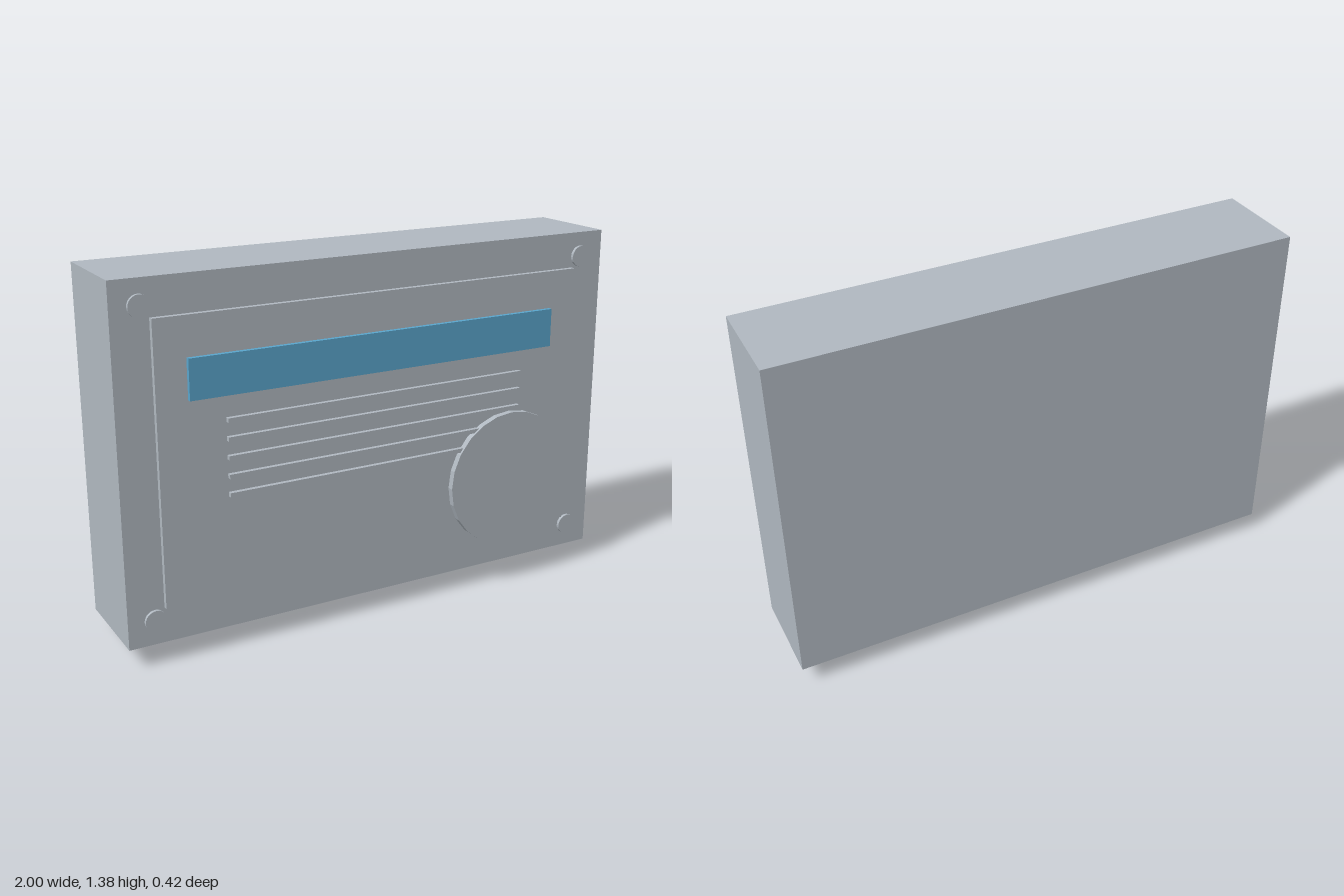
import * as THREE from 'three';

export function createModel() {
  const model = new THREE.Group();
  const casing = new THREE.MeshStandardMaterial({ color: 0xb0b8c0 });
  casing.name = 'casing grey';
  const display = new THREE.MeshStandardMaterial({ color: 0x5aa5cc });
  display.name = 'display blue';
  const rubber = new THREE.MeshStandardMaterial({ color: 0x46505c });
  rubber.name = 'dark slate';

  // Box given by its limits along each axis
  function box(name, material, [x0, x1], [y0, y1], [z0, z1]) {
    const mesh = new THREE.Mesh(new THREE.BoxGeometry(x1 - x0, y1 - y0, z1 - z0), material);
    mesh.position.set((x0 + x1) / 2, (y0 + y1) / 2, (z0 + z1) / 2);
    mesh.name = name;
    model.add(mesh);
  }

  // Flat-sided disc facing the front
  function disc(name, x, y, radius, z0, z1, sides) {
    const geometry = new THREE.CylinderGeometry(radius, radius, z1 - z0, sides).toNonIndexed();
    geometry.rotateX(Math.PI / 2);
    geometry.computeVertexNormals();
    const mesh = new THREE.Mesh(geometry, casing);
    mesh.position.set(x, y, (z0 + z1) / 2);
    mesh.name = name;
    model.add(mesh);
  }

  // Main housing and raised front panel
  box('housing', casing, [-1, 1], [0.078, 1.382], [-0.206, 0.163]);
  box('frontPanel', casing, [-0.864, 0.86], [0.212, 1.247], [0.163, 0.183]);

  // Display strip
  box('displayStrip', display, [-0.75, 0.745], [0.956, 1.103], [0.183, 0.2]);

  // Grille bars below the display
  for (let i = 0; i < 5; i++) {
    const y = 0.867 - i * 0.068;
    box('grilleBar' + (i + 1), casing, [-0.615, 0.61], [y - 0.008, y + 0.008], [0.183, 0.2]);
  }

  // Large dial over the lower corner of the panel
  disc('dial', 0.57, 0.446, 0.27, 0.184, 0.209, 24);

  // Corner screws
  for (const x of [-0.9, 0.895]) {
    for (const y of [0.172, 1.29]) disc('cornerScrew', x, y, 0.04, 0.165, 0.177, 24);
  }

  // Thin feet under the housing
  for (const x of [-0.785, 0.14]) {
    box('foot', rubber, [x, x + 0.476], [0, 0.08], [-0.037, -0.006]);
  }

  return model;
}
